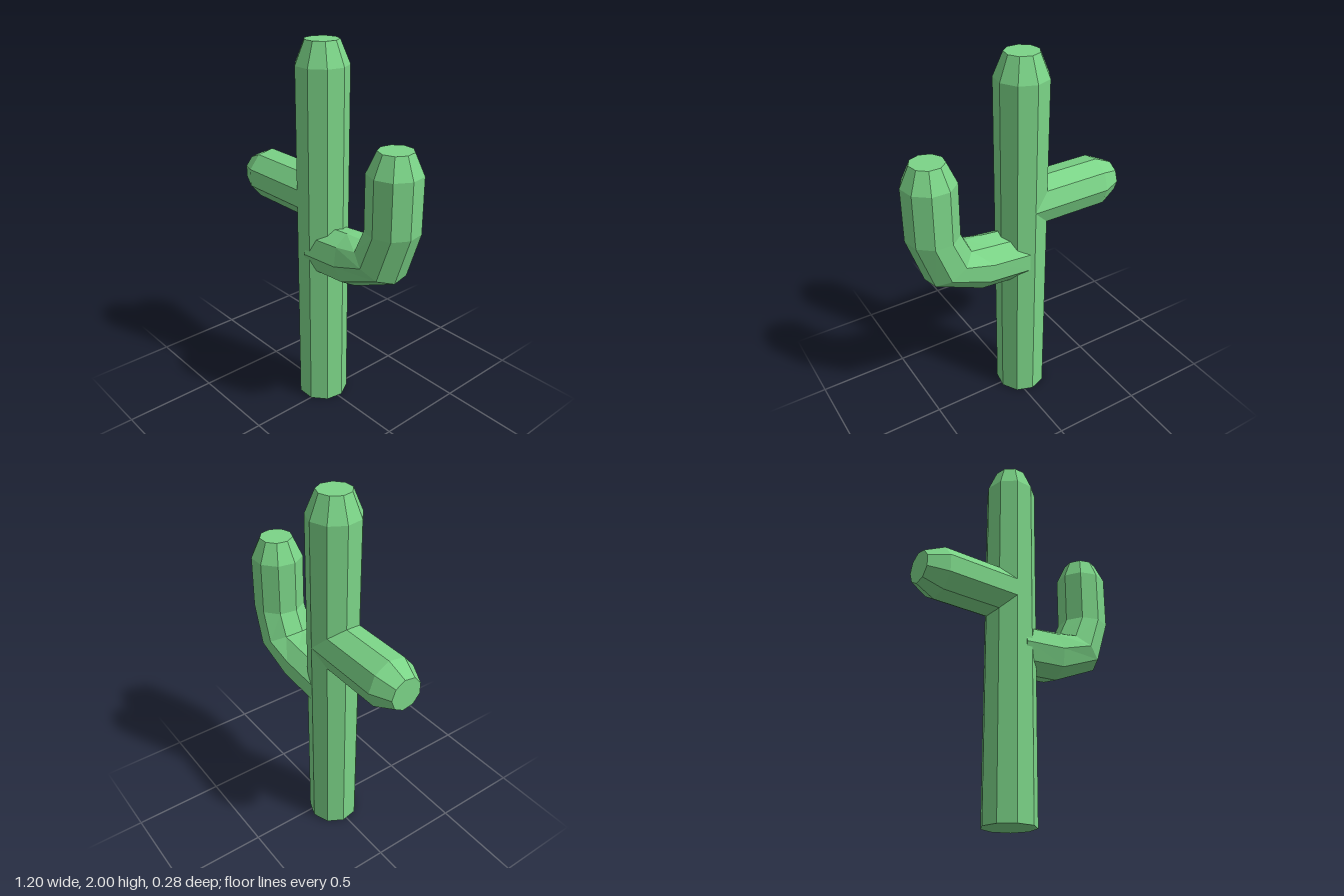
import * as THREE from 'three';

const SIDES = 9;
const R = 0.138; // stem radius
const TIP = 0.088; // radius of the blunt tips

// Lofts nine-sided rings [x, y, headingInDegrees, radius] lying along a path in the xy plane.
// turn rotates the cross-section about the path.
function stem(name, rings, turn, material) {
  const positions = [];
  const index = [];
  for (const [x, y, heading, r] of rings) {
    const a = THREE.MathUtils.degToRad(heading);
    for (let j = 0; j < SIDES; j++) {
      const t = turn + (j / SIDES) * Math.PI * 2;
      const out = r * Math.sin(t);
      positions.push(x + out * Math.sin(a), y - out * Math.cos(a), r * Math.cos(t));
    }
  }
  // Side faces
  for (let i = 0; i < rings.length - 1; i++) {
    for (let j = 0; j < SIDES; j++) {
      const k = (j + 1) % SIDES;
      const a = i * SIDES + j, b = i * SIDES + k;
      index.push(a, b, b + SIDES, a, b + SIDES, a + SIDES);
    }
  }
  // Flat end caps
  const last = (rings.length - 1) * SIDES;
  for (let j = 1; j < SIDES - 1; j++) {
    index.push(0, j + 1, j, last, last + j, last + j + 1);
  }
  const indexed = new THREE.BufferGeometry();
  indexed.setAttribute('position', new THREE.Float32BufferAttribute(positions, 3));
  indexed.setIndex(index);
  const geometry = indexed.toNonIndexed();
  geometry.computeVertexNormals();
  const mesh = new THREE.Mesh(geometry, material);
  mesh.name = name;
  return mesh;
}

export function createModel() {
  const group = new THREE.Group();
  group.name = 'cactus';
  const green = new THREE.MeshStandardMaterial({ color: 0x7bd487, flatShading: true });

  // Upright trunk with a tapered top
  group.add(stem('trunk', [
    [-0.047, 0, 90, R],
    [-0.047, 1.88, 90, R],
    [-0.047, 2, 90, TIP],
  ], Math.PI, green));

  // Short straight arm
  group.add(stem('straightArm', [
    [-0.047, 1.204, 180, R],
    [-0.5, 1.204, 180, R],
    [-0.605, 1.204, 180, TIP],
  ], Math.PI, green));

  // Long arm that bends upward
  group.add(stem('bentArm', [
    [-0.035, 0.91, 0, R],
    [0.204, 0.931, 14, R * 1.03],
    [0.394, 0.995, 57, R * 1.04],
    [0.464, 1.178, 90, R],
    [0.464, 1.465, 90, R],
    [0.464, 1.573, 90, TIP],
  ], 0, green));

  return group;
}
